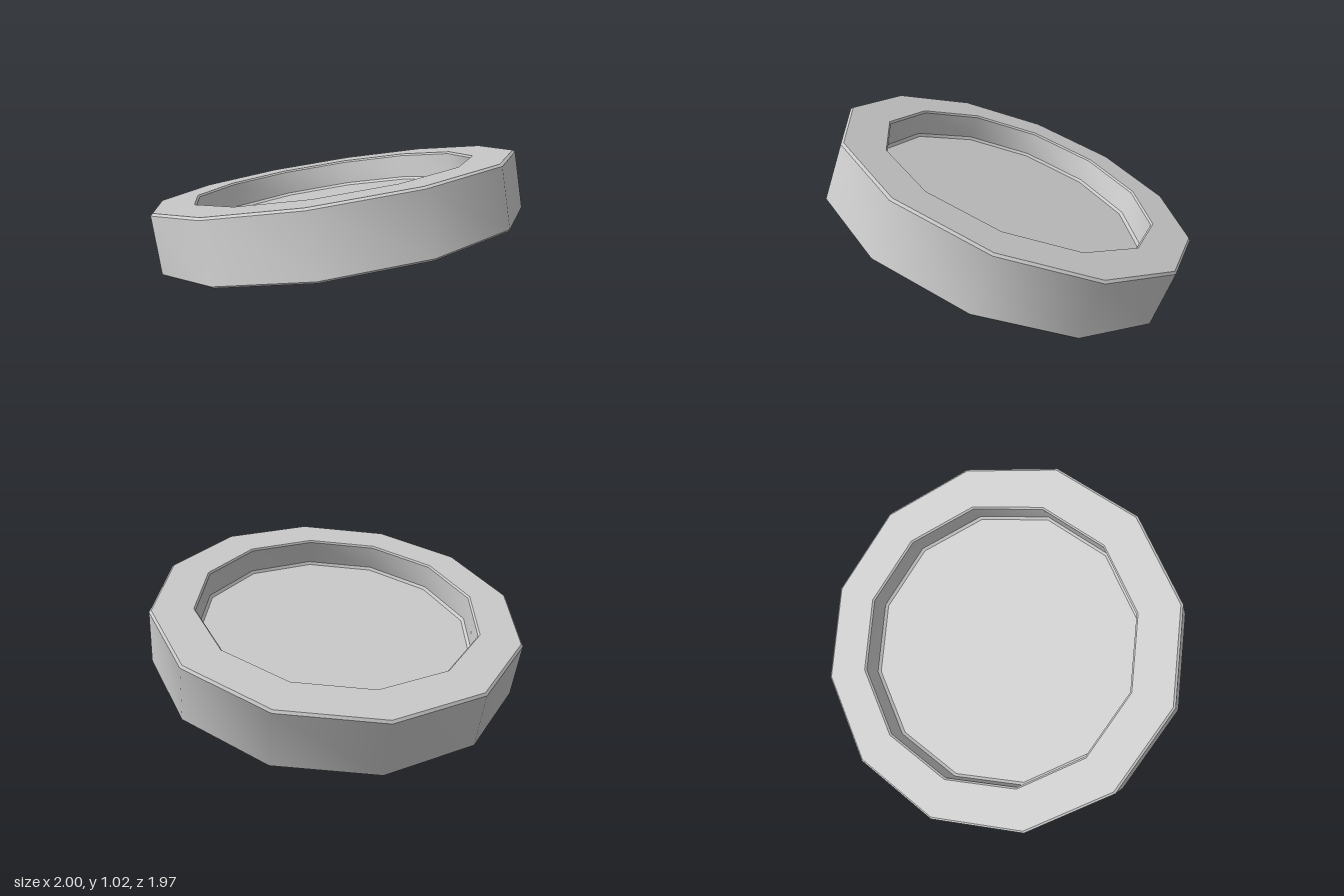
import * as THREE from 'three';
import { toCreasedNormals } from 'three/addons/utils/BufferGeometryUtils.js';

const SIDES = 12;
const TILT = -0.37;

export function createModel() {
  const model = new THREE.Group();
  const material = new THREE.MeshStandardMaterial({ color: 0xcccccc });

  // Tilted dish, symmetric above and below its middle plane
  const dish = new THREE.Group();
  dish.name = 'tiltedDish';
  dish.rotation.x = TILT;
  dish.position.y = 0.51;
  model.add(dish);

  const addLathe = (name, points) => {
    const profile = points.map(([r, y]) => new THREE.Vector2(r, y));
    const geometry = toCreasedNormals(new THREE.LatheGeometry(profile, SIDES), 0.55);
    const mesh = new THREE.Mesh(geometry, material);
    mesh.name = name;
    dish.add(mesh);
  };

  // Upper half of the rim: fillet, inner wall, chamfered top, outer edge
  const upper = [
    [0.752, 0.002], [0.766, 0.016], [0.766, 0.153],
    [0.775, 0.163], [0.988, 0.163], [1, 0.152],
  ];
  const lower = upper.map(([r, y]) => [r, -y]);
  addLathe('rim', [...lower, ...upper.slice().reverse()]);

  // Thin panel closing the middle of the rim
  addLathe('upperPanel', [[0.752, 0.002], [0, 0.002]]);
  addLathe('lowerPanel', [[0, -0.002], [0.752, -0.002]]);

  return model;
}
